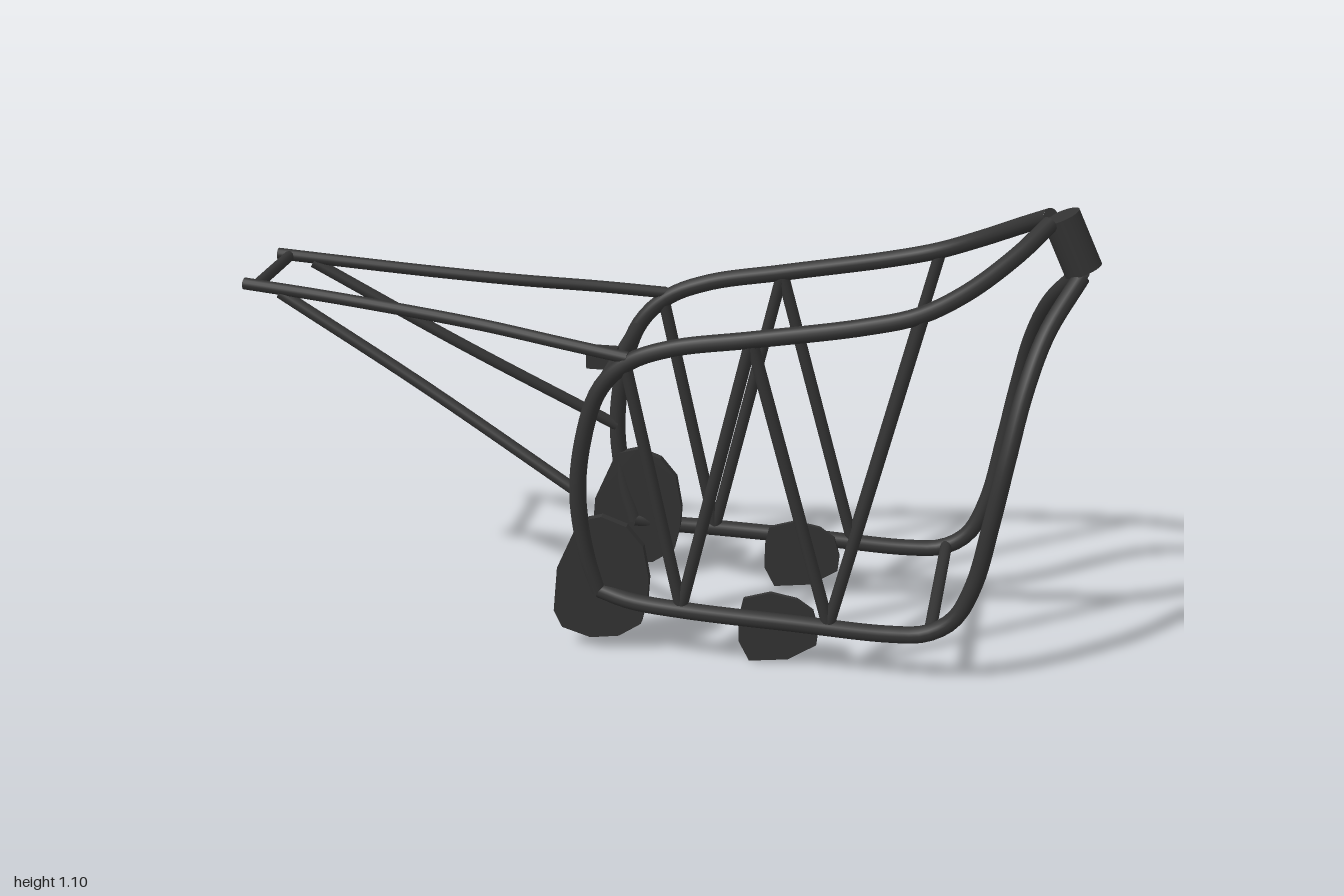
import * as THREE from 'three';

const steel = new THREE.MeshStandardMaterial({ color: 0x333333 });
steel.name = 'dark steel';

const vec = ([x, y, z], side = 1) => new THREE.Vector3(x, y, z * side);

export function createModel() {
  const model = new THREE.Group();
  model.name = 'tubularFrame';

  const add = (name, geometry, parent = model) => {
    const mesh = new THREE.Mesh(geometry, steel);
    mesh.name = name;
    parent.add(mesh);
    return mesh;
  };

  // Straight capped tube between two points
  const bar = (name, a, b, radius, parent = model, sides = 14) => {
    const dir = b.clone().sub(a);
    const mesh = add(name, new THREE.CylinderGeometry(radius, radius, dir.length(), sides), parent);
    mesh.position.copy(a).add(b).multiplyScalar(0.5);
    mesh.quaternion.setFromUnitVectors(new THREE.Vector3(0, 1, 0), dir.normalize());
    return mesh;
  };

  // Bent tube through points, closed with a disc at each end
  const bent = (name, points, radius, parent, segments = 72) => {
    const curve = new THREE.CatmullRomCurve3(points);
    add(name, new THREE.TubeGeometry(curve, segments, radius, 14), parent);
    for (const t of [0, 1]) {
      const cap = add(name + 'Cap', new THREE.CircleGeometry(radius, 14), parent);
      const out = curve.getTangentAt(t).multiplyScalar(t ? 1 : -1);
      cap.position.copy(curve.getPointAt(t));
      cap.quaternion.setFromUnitVectors(new THREE.Vector3(0, 0, 1), out);
    }
  };

  // Flat plate from an outline in the xy plane
  const plate = (name, outline, z, thickness, parent) => {
    const shape = new THREE.Shape(outline.map(([x, y]) => new THREE.Vector2(x, y)));
    const geometry = new THREE.ExtrudeGeometry(shape, { depth: thickness, bevelEnabled: false });
    add(name, geometry, parent).position.z = z - thickness / 2;
  };

  const upperRail = [
    [0.885, 1.075, 0.03], [0.82, 1.025, 0.115], [0.72, 0.96, 0.198], [0.62, 0.912, 0.238],
    [0.5, 0.88, 0.246], [0.25, 0.832, 0.244], [0.06, 0.795, 0.238], [-0.04, 0.752, 0.232],
    [-0.11, 0.677, 0.225], [-0.152, 0.54, 0.224], [-0.165, 0.4, 0.222], [-0.148, 0.26, 0.216],
    [-0.118, 0.155, 0.21]
  ];
  const lowerRail = [
    [-0.118, 0.158, 0.21], [-0.04, 0.143, 0.226], [0.1, 0.136, 0.238], [0.35, 0.129, 0.241],
    [0.58, 0.123, 0.241], [0.665, 0.133, 0.241], [0.727, 0.175, 0.242], [0.77, 0.27, 0.246],
    [0.802, 0.43, 0.25], [0.828, 0.58, 0.238], [0.857, 0.73, 0.187], [0.895, 0.845, 0.115],
    [0.962, 0.952, 0.022]
  ];
  const tailRail = [
    [-1, 0.843, 0.118], [-0.8, 0.828, 0.128], [-0.6, 0.812, 0.144], [-0.4, 0.796, 0.168],
    [-0.2, 0.779, 0.207], [-0.04, 0.764, 0.234]
  ];
  const tailStrut = [[-0.91, 0.826, 0.12], [-0.55, 0.625, 0.153], [-0.165, 0.41, 0.214]];
  const truss = [
    [-0.048, 0.75, 0.23], [0.085, 0.14, 0.235], [0.245, 0.83, 0.242],
    [0.437, 0.13, 0.24], [0.627, 0.912, 0.238]
  ];
  const rearOutline = [
    [-0.165, 0.337], [-0.11, 0.353], [-0.05, 0.332], [-0.01, 0.283], [0.004, 0.2], [0, 0.145],
    [-0.016, 0.08], [-0.07, 0.043], [-0.14, 0.032], [-0.21, 0.053], [-0.23, 0.096], [-0.22, 0.21]
  ];
  const footOutline = [
    [0.23, 0.166], [0.294, 0.187], [0.358, 0.176], [0.396, 0.15], [0.41, 0.1],
    [0.406, 0.06], [0.34, 0.016], [0.246, 0.003], [0.22, 0.053], [0.22, 0.118]
  ];

  // Mirrored sides: rails, tail, zigzag truss and plates
  for (const side of [1, -1]) {
    const half = new THREE.Group();
    half.name = side > 0 ? 'frontSide' : 'backSide';
    model.add(half);
    const points = (list) => list.map((p) => vec(p, side));
    bent('upperRail', points(upperRail), 0.02, half);
    bent('lowerRail', points(lowerRail), 0.02, half);
    bent('tailRail', points(tailRail), 0.0145, half, 32);
    bent('tailStrut', points(tailStrut), 0.0145, half, 20);
    const nodes = points(truss);
    for (let i = 0; i < nodes.length - 1; i++) bar('trussBar', nodes[i], nodes[i + 1], 0.0145, half);
    plate('rearPlate', rearOutline, 0.209 * side, 0.02, half);
    plate('footPlate', footOutline, 0.205 * side, 0.01, half);
  }

  // Head tube
  bar('headTube', vec([0.908, 1.086, 0]), vec([0.966, 0.962, 0]), 0.044, model, 24);

  // Cross bars joining the two sides
  const crossBars = [
    ['tailCrossBar', -0.97, 0.84, 0.118, 0.0135],
    ['seatCrossBar', -0.113, 0.672, 0.222, 0.017],
    ['lowerCrossBar', 0.675, 0.14, 0.24, 0.0145]
  ];
  for (const [name, x, y, z, r] of crossBars) bar(name, vec([x, y, -z]), vec([x, y, z]), r);

  // Small shock mount on the seat cross bar
  add('shockMount', new THREE.BoxGeometry(0.07, 0.046, 0.046)).position.set(-0.152, 0.672, 0);

  return model;
}
